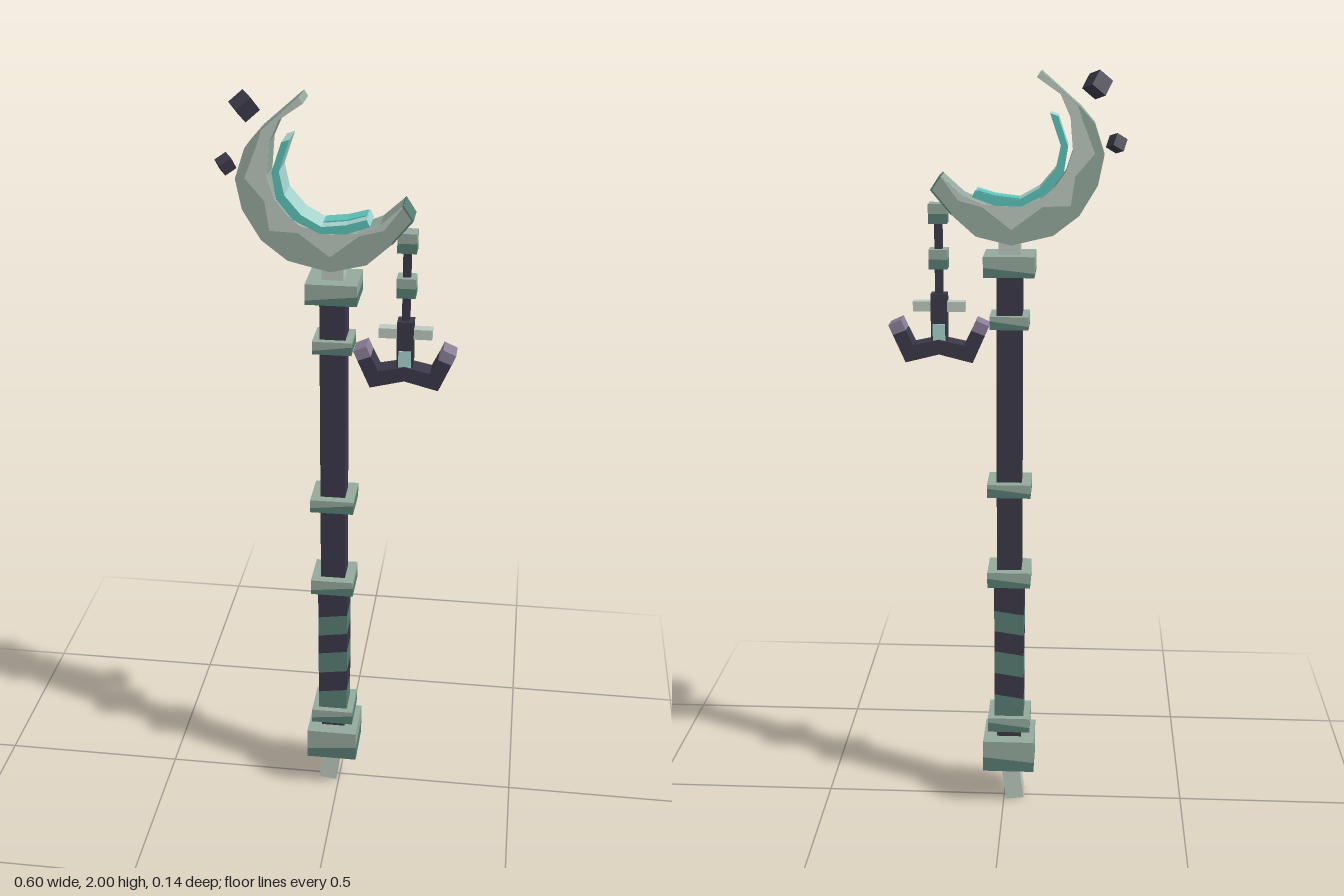
import * as THREE from 'three';

const mat = (name, color) => new THREE.MeshStandardMaterial({ name, color, flatShading: true });

export function createModel() {
  const root = new THREE.Group();
  root.name = 'moonStaff';
  const dark = mat('dark wood', 0x3a3848);
  const sage = mat('sage bone', 0x95a99c);
  const pale = mat('pale bone', 0xbccac0);
  const green = mat('deep green', 0x587d72);
  const teal = mat('teal glow', 0x5cc4bb);
  const ice = mat('pale teal', 0xa6d3cc);
  const plum = mat('plum grey', 0x8a8098);
  const CX = -0.015; // axis of the shaft

  const add = (parent, name, geo, material, x = 0, y = 0, z = 0) => {
    const m = new THREE.Mesh(geo, material);
    m.name = name;
    m.position.set(x, y, z);
    parent.add(m);
    return m;
  };
  const box = (name, w, h, d, material, x, y, z = 0) =>
    add(root, name, new THREE.BoxGeometry(w, h, d), material, x, y, z);

  // Outline extruded symmetrically about z (or about a chosen z)
  const slab = (parent, name, pts, depth, material, z = 0) => {
    const shape = new THREE.Shape(pts.map(([x, y]) => new THREE.Vector2(x, y)));
    const geo = new THREE.ExtrudeGeometry(shape, { depth, bevelEnabled: false });
    geo.translate(0, 0, z - depth / 2);
    return add(parent, name, geo, material);
  };

  // Square section whose top and bottom edges may slope from left to right
  const band = (name, w, y0, y1, material, slope0 = 0, slope1 = 0) => {
    const geo = new THREE.BoxGeometry(w, y1 - y0, w);
    const p = geo.attributes.position;
    for (let i = 0; i < p.count; i++) {
      p.setY(i, p.getY(i) + Math.sign(p.getX(i)) * (p.getY(i) > 0 ? slope1 : slope0));
    }
    geo.computeVertexNormals();
    return add(root, name, geo, material, CX, (y0 + y1) / 2);
  };

  // Shaft, neck and tilted foot
  band('shaft', 0.066, 0.65, 1.5, dark);
  band('neck', 0.055, 1.54, 1.6, pale);
  band('lowerShaft', 0.066, 0.19, 0.27, dark);
  const foot = box('foot', 0.05, 0.13, 0.056, pale, -0.023, 0.067);
  foot.rotation.z = -0.13;

  // Wrapped grip with sloping stripes
  const cuts = [0.25, 0.325, 0.39, 0.455, 0.515, 0.575, 0.665];
  for (let i = 0; i < cuts.length - 1; i++) {
    const s0 = i === 0 ? 0 : 0.006;
    const s1 = i === cuts.length - 2 ? 0 : 0.006;
    band('gripWrap', 0.08, cuts[i], cuts[i + 1], i % 2 ? dark : green, s0, s1);
  }

  // Two-tone collars: width, bottom, top, height of the colour change
  [
    [0.14, 0.11, 0.2, 0.145],
    [0.115, 0.225, 0.266, 0.246],
    [0.115, 0.655, 0.698, 0.674],
    [0.115, 0.91, 0.946, 0.929],
    [0.1, 1.36, 1.394, 1.376],
    [0.13, 1.497, 1.55, 1.515],
  ].forEach(([w, y0, y1, mid]) => {
    band('collarBase', w, y0, mid, green, 0, 0.007);
    band('collarTop', w, mid, y1, sage, 0.007, 0);
  });

  // Crescent head
  const outer = [
    [-0.092, 2.0], [-0.19, 1.915], [-0.225, 1.875], [-0.25, 1.8], [-0.235, 1.725], [-0.19, 1.65],
    [-0.125, 1.6], [-0.02, 1.575], [0.07, 1.597], [0.135, 1.655], [0.18, 1.713],
  ];
  const inner = [
    [-0.082, 1.985], [-0.14, 1.945], [-0.165, 1.89], [-0.172, 1.81], [-0.155, 1.757], [-0.128, 1.72],
    [-0.092, 1.69], [-0.02, 1.672], [0.05, 1.678], [0.103, 1.7], [0.155, 1.747],
  ];
  slab(root, 'crescent', [...outer, ...[...inner].reverse()], 0.08, sage);

  // Ragged pale streak along the inside of both faces
  const reach = [1, 0.85, 0.5, 0.7, 0.3, 0.65, 0.2, 0.6, 0.1, 0.3, 0.05];
  const ragged = reach.map((t, i) => inner[i].map((v, k) => v + (outer[i][k] - v) * t));
  for (const z of [-0.04, 0.04]) {
    slab(root, 'paleStreak', [...ragged, ...[...inner].reverse()], 0.003, pale, z);
  }
  // Dark cap on the lower horn
  slab(root, 'hornCap', [[0.132, 1.651], [0.183, 1.712], [0.158, 1.75], [0.154, 1.747], [0.178, 1.713], [0.13, 1.655]], 0.081, green);

  // Glowing lining
  slab(root, 'lining', [
    [-0.135, 1.893], [-0.16, 1.82], [-0.15, 1.755], [-0.11, 1.705], [-0.045, 1.673], [0.02, 1.674], [0.078, 1.695],
    [0.07, 1.712], [0.02, 1.697], [-0.04, 1.69], [-0.09, 1.718], [-0.13, 1.765], [-0.142, 1.822], [-0.115, 1.9],
  ], 0.086, [teal, ice]);
  slab(root, 'liningPatch', [[-0.04, 1.689], [0.02, 1.696], [0.066, 1.71], [0.066, 1.713], [0.02, 1.7], [-0.04, 1.693]], 0.05, teal, -0.017);

  // Floating shards
  [[-0.23, 1.966, 0.045, 0.5], [-0.28, 1.825, 0.033, 0.35]].forEach(([x, y, s, a]) => {
    box('shard', s, s, s, dark, x, y).rotation.set(0.3, 0.6, a);
  });

  // Hanging chain
  const AX = 0.167;
  box('chainCord', 0.02, 0.27, 0.02, dark, AX, 1.535);
  for (const y of [1.535, 1.65]) {
    box('chainLinkBase', 0.048, 0.025, 0.048, green, AX, y - 0.0125);
    box('chainLinkTop', 0.048, 0.025, 0.048, sage, AX, y + 0.0125);
  }

  // Anchor: shank, crossbar, gem plates and mirrored arms
  const anchor = new THREE.Group();
  anchor.name = 'anchor';
  anchor.position.x = AX;
  root.add(anchor);
  add(anchor, 'shank', new THREE.BoxGeometry(0.042, 0.14, 0.042), dark, 0, 1.375);
  add(anchor, 'crossbar', new THREE.BoxGeometry(0.135, 0.026, 0.03), pale, 0, 1.412);
  for (const z of [-0.022, 0.022]) {
    add(anchor, 'shankGem', new THREE.BoxGeometry(0.032, 0.045, 0.006), ice, 0, 1.346, z);
  }
  for (const s of [-1, 1]) {
    const side = (pts) => pts.map(([x, y]) => [x * s, y]);
    slab(anchor, 'anchorArm', side([[0, 1.29], [0.087, 1.268], [0.119, 1.34], [0.085, 1.353], [0.066, 1.314], [0, 1.328]]), 0.06, dark);
    slab(anchor, 'anchorTip', side([[0.119, 1.34], [0.13, 1.365], [0.097, 1.38], [0.085, 1.353]]), 0.06, plum);
  }
  return root;
}
